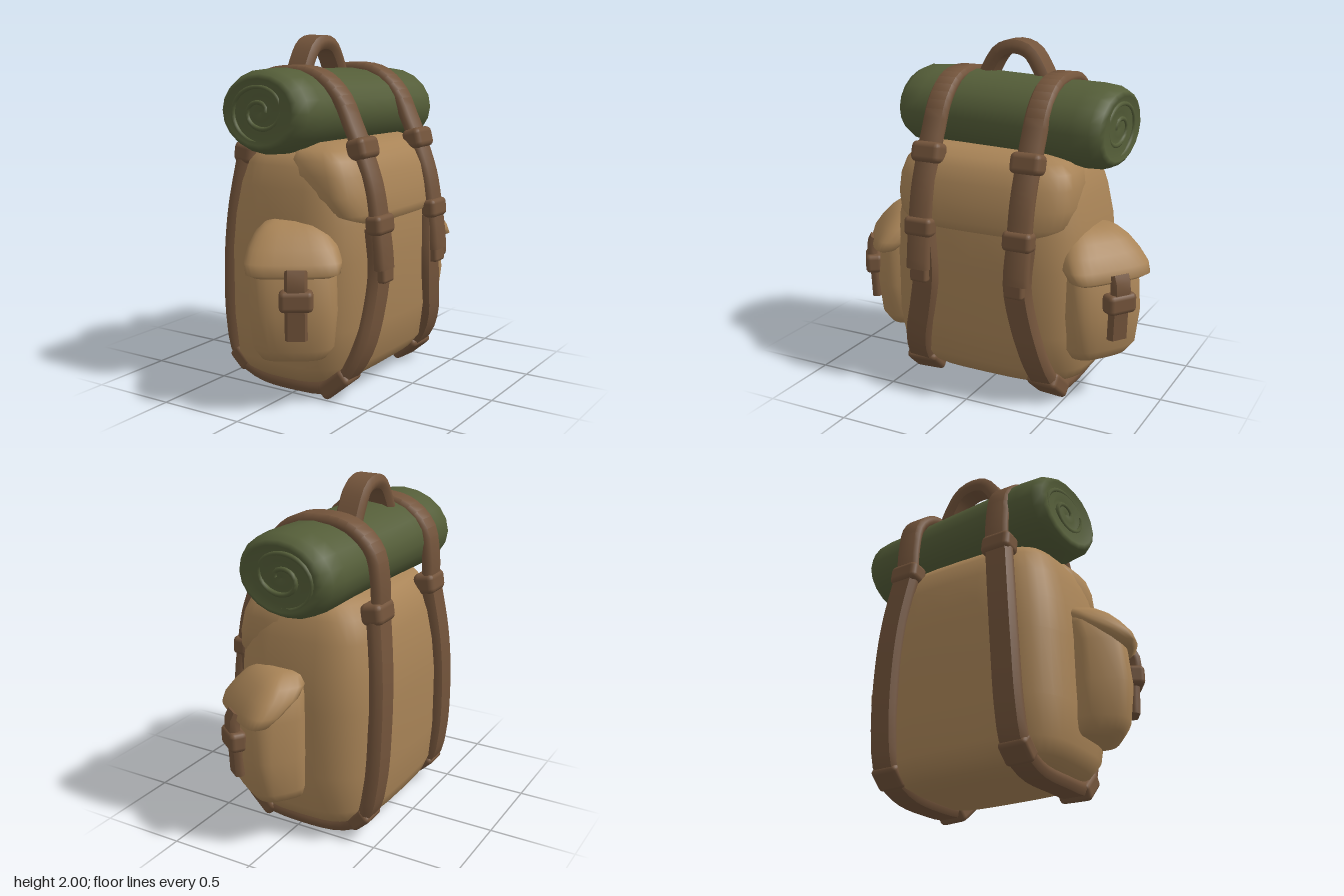
import * as THREE from 'three';
import { toCreasedNormals } from 'three/addons/utils/BufferGeometryUtils.js';
import { RoundedBoxGeometry } from 'three/addons/geometries/RoundedBoxGeometry.js';

const mat = (name, color) => {
  const m = new THREE.MeshStandardMaterial({ color });
  m.name = name;
  return m;
};

// Closed skin over a list of rings (arrays of Vector3), capped at both ends
function skin(rings) {
  const n = rings[0].length, pos = [], idx = [];
  for (const r of rings) for (const p of r) pos.push(p.x, p.y, p.z);
  for (let i = 0; i < rings.length - 1; i++) {
    for (let j = 0; j < n; j++) {
      const a = i * n + j, b = i * n + (j + 1) % n;
      idx.push(a, b, a + n, b, b + n, a + n);
    }
  }
  [0, rings.length - 1].forEach((k) => {
    const c = new THREE.Vector3();
    rings[k].forEach((p) => c.addScaledVector(p, 1 / n));
    const ci = pos.length / 3;
    pos.push(c.x, c.y, c.z);
    for (let j = 0; j < n; j++) {
      const a = k * n + j, b = k * n + (j + 1) % n;
      if (k === 0) idx.push(ci, b, a); else idx.push(ci, a, b);
    }
  });
  const g = new THREE.BufferGeometry();
  g.setAttribute('position', new THREE.Float32BufferAttribute(pos, 3));
  g.setIndex(idx);
  g.computeVertexNormals();
  return g;
}

// Stacked rounded-rectangle sections: [y, xMin, xMax, zMin, zMax]
function loft(sections, power, segs = 32) {
  const soft = (v) => Math.sign(v) * Math.abs(v) ** (2 / power);
  return skin(sections.map(([y, x0, x1, z0, z1]) => Array.from({ length: segs }, (_, j) => {
    const a = (j / segs) * Math.PI * 2;
    return new THREE.Vector3(
      (x0 + x1) / 2 + (x1 - x0) / 2 * soft(Math.cos(a)), y,
      (z0 + z1) / 2 - (z1 - z0) / 2 * soft(Math.sin(a)));
  })));
}

// Flat band with bevelled edges along a path; its width follows the side axis
function ribbon(points, width, thick, side, steps) {
  const curve = new THREE.CatmullRomCurve3(points.map((p) => new THREE.Vector3(...p)));
  const section = [[1, -0.3], [1, 0.3], [0.75, 1], [-0.75, 1], [-1, 0.3], [-1, -0.3], [-0.75, -1], [0.75, -1]];
  const rings = [];
  for (let i = 0; i <= steps; i++) {
    const p = curve.getPointAt(i / steps), t = curve.getTangentAt(i / steps);
    const w = side.clone().addScaledVector(t, -side.dot(t)).normalize();
    const n = t.clone().cross(w);
    rings.push(section.map(([u, v]) => p.clone()
      .addScaledVector(w, u * width / 2).addScaledVector(n, v * thick / 2)));
  }
  return toCreasedNormals(skin(rings), 0.9);
}

export function createModel() {
  const canvas = mat('tan canvas', 0xa98457);
  const leather = mat('brown leather', 0x73543b);
  const blanket = mat('green blanket', 0x545d38);
  const model = new THREE.Group();
  model.name = 'backpack';
  const X = new THREE.Vector3(1, 0, 0), Z = new THREE.Vector3(0, 0, 1);

  const add = (parent, name, geo, material, pos = [0, 0, 0], rot = [0, 0, 0]) => {
    const m = new THREE.Mesh(geo, material);
    m.name = name;
    m.position.set(...pos);
    m.rotation.set(...rot);
    parent.add(m);
    return m;
  };
  const block = (w, h, d) => new RoundedBoxGeometry(w, h, d, 2, Math.min(w, h, d) * 0.28);

  // Main bag: y, back x, front x, half width in z
  add(model, 'bag', loft([
    [0.05, -0.28, 0.16, 0.38], [0.07, -0.37, 0.25, 0.48], [0.12, -0.425, 0.32, 0.555],
    [0.2, -0.455, 0.38, 0.605], [0.42, -0.475, 0.43, 0.625], [0.8, -0.482, 0.44, 0.618],
    [1.0, -0.468, 0.43, 0.6], [1.18, -0.44, 0.4, 0.565], [1.3, -0.4, 0.35, 0.53],
    [1.37, -0.34, 0.28, 0.48], [1.41, -0.24, 0.18, 0.38],
  ].map(([y, a, b, z]) => [y, a, b, -z, z]), 3.5, 40), canvas);

  // Top flap folded over the front
  add(model, 'topFlap', loft([
    [0.985, 0.05, 0.41, 0.4], [1.0, 0, 0.44, 0.47], [1.05, -0.03, 0.45, 0.525],
    [1.15, -0.04, 0.435, 0.548], [1.26, -0.06, 0.41, 0.545], [1.34, -0.08, 0.37, 0.525],
    [1.39, -0.08, 0.32, 0.48], [1.425, -0.03, 0.23, 0.38],
  ].map(([y, a, b, z]) => [y, a, b, -z, z]), 3.3), canvas);

  // Bedroll with a wound end on either side
  const roll = new THREE.Group();
  roll.name = 'bedroll';
  roll.position.set(-0.08, 1.576, -0.04);
  roll.rotation.set(-0.028, -0.07, 0);
  const half = [[0, 0.635], [0.05, 0.645], [0.09, 0.63], [0.115, 0.655], [0.15, 0.635],
    [0.18, 0.665], [0.205, 0.65], [0.23, 0.6], [0.238, 0.5], [0.234, 0.25]];
  const profile = [...half.map(([r, z]) => [r, -z]), ...half.slice().reverse()]
    .map(([r, z]) => new THREE.Vector2(r, z));
  const rollGeo = new THREE.LatheGeometry(profile, 20).rotateX(Math.PI / 2).scale(1.31, 1, 1);
  add(roll, 'rolledBlanket', rollGeo, blanket);
  for (const s of [1, -1]) {
    const pts = Array.from({ length: 30 }, (_, i) => {
      const a = i * 0.42, r = 0.03 + i * 0.0055;
      return new THREE.Vector3(Math.cos(a) * r * 1.29, Math.sin(a) * r, s * 0.64);
    });
    add(roll, 'rollSpiral', new THREE.TubeGeometry(new THREE.CatmullRomCurve3(pts), 60, 0.014, 6), blanket);
  }
  model.add(roll);

  // Carrying handle
  add(model, 'handle', ribbon([
    [-0.16, 1.78, 0.19], [-0.16, 1.85, 0.155], [-0.16, 1.935, 0.09], [-0.16, 1.96, 0],
    [-0.16, 1.935, -0.09], [-0.16, 1.85, -0.155], [-0.16, 1.78, -0.19],
  ], 0.16, 0.08, X, 14), leather);

  for (const s of [1, -1]) {
    // Strap over the bedroll and down the front, ending in a loose tip
    add(model, 'upperStrap', ribbon([
      [-0.425, 1.3], [-0.42, 1.5], [-0.38, 1.67], [-0.25, 1.78], [-0.06, 1.805], [0.09, 1.775],
      [0.21, 1.67], [0.285, 1.52], [0.34, 1.4], [0.415, 1.2], [0.45, 1.02], [0.475, 0.86], [0.485, 0.75],
    ].map(([x, y]) => [x, y, s * 0.312]), 0.145, 0.065, Z, 40), leather);
    add(model, 'strapTip', block(0.06, 0.13, 0.11), leather, [0.482, 0.74, s * 0.302], [0, 0, 0.06]);

    // Strap running down the front, under the bag and up the back
    add(model, 'lowerStrap', ribbon([
      [0.425, 0.98, 0.31], [0.432, 0.72, 0.29], [0.42, 0.5, 0.325], [0.395, 0.32, 0.37],
      [0.345, 0.2, 0.395], [0.24, 0.085, 0.41], [0, 0.058, 0.42], [-0.27, 0.075, 0.41],
      [-0.405, 0.16, 0.41], [-0.455, 0.35, 0.405], [-0.472, 0.7, 0.39], [-0.46, 1.0, 0.365],
      [-0.415, 1.34, 0.32],
    ].map(([x, y, z]) => [x, y, s * z]), 0.165, 0.085, Z, 44), leather);

    // Buckles and corner keepers
    add(model, 'frontUpperBuckle', block(0.12, 0.12, 0.185), leather, [0.345, 1.4, s * 0.31], [0, 0, 0.25]);
    add(model, 'frontLowerBuckle', block(0.1, 0.11, 0.175), leather, [0.455, 0.995, s * 0.31], [0, 0, 0.08]);
    add(model, 'backBuckle', block(0.13, 0.12, 0.185), leather, [-0.41, 1.335, s * 0.32], [0, 0, -0.15]);
    add(model, 'frontKeeper', block(0.2, 0.1, 0.19), leather, [0.255, 0.096, s * 0.405], [0, s * 0.1, 0.7]);
    add(model, 'backKeeper', block(0.14, 0.09, 0.17), leather, [-0.385, 0.135, s * 0.41], [0, 0, -0.75]);

    // Side pocket, angled towards the front
    const pocket = new THREE.Group();
    pocket.name = s > 0 ? 'leftPocket' : 'rightPocket';
    pocket.position.set(0.085, 0, s * 0.6);
    pocket.rotation.y = s > 0 ? 0.61 : Math.PI - 0.61;
    add(pocket, 'pocketBag', loft([
      [0.265, 0.13, 0.09], [0.285, 0.18, 0.15], [0.35, 0.222, 0.195], [0.55, 0.24, 0.218],
      [0.78, 0.235, 0.195], [0.9, 0.215, 0.12], [0.98, 0.16, 0.02],
    ].map(([y, w, z]) => [y, -w, w, -0.14, z]), 3.2, 28), canvas);
    add(pocket, 'pocketFlap', loft([
      [0.755, 0.2, 0.13, 0.22], [0.775, 0.25, 0.09, 0.245], [0.83, 0.26, 0.01, 0.228],
      [0.9, 0.24, -0.1, 0.18], [0.96, 0.205, -0.15, 0.125], [1.005, 0.155, -0.15, 0.065],
      [1.02, 0.1, -0.13, 0.0],
    ].map(([y, w, z0, z1]) => [y, -w, w, z0, z1]), 3.2, 28), canvas);
    add(pocket, 'pocketStrap', ribbon([
      [0.015, 0.8, 0.225], [0.015, 0.74, 0.25], [0.015, 0.62, 0.235], [0.015, 0.43, 0.225],
    ], 0.12, 0.06, X, 8), leather);
    add(pocket, 'pocketBuckle', block(0.18, 0.115, 0.1), leather, [0.015, 0.645, 0.24]);
    model.add(pocket);
  }
  return model;
}
